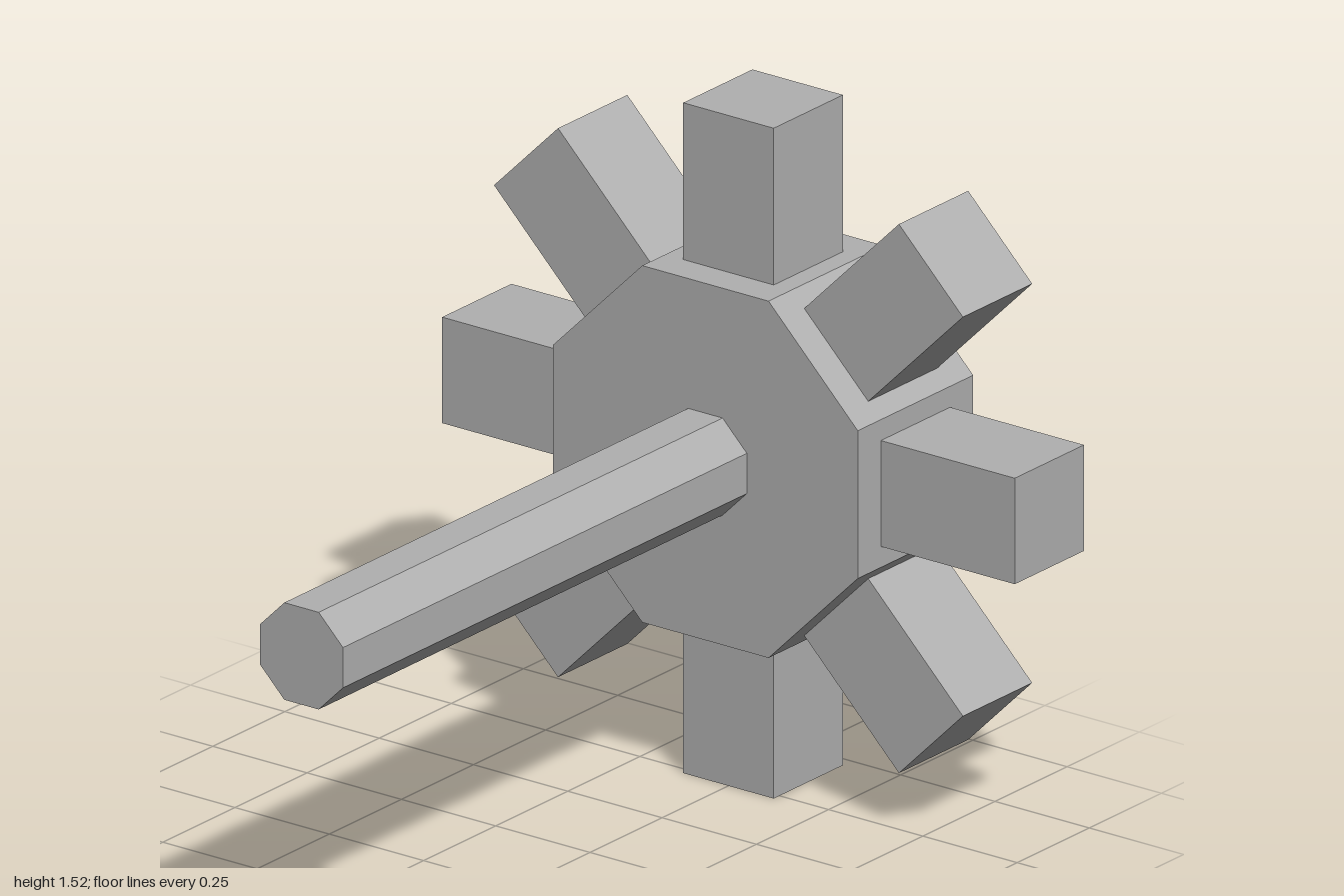
import * as THREE from 'three';

export function createModel() {
  const model = new THREE.Group();
  const grey = new THREE.MeshStandardMaterial({ color: 0xb0b0b0 });
  grey.name = 'plain grey';
  const axisY = 0.76;

  const add = (name, geometry, z) => {
    const mesh = new THREE.Mesh(geometry, grey);
    mesh.name = name;
    mesh.position.set(0, axisY, z);
    model.add(mesh);
    return mesh;
  };

  // Octagonal prism along z with flat sides facing up, down, left and right
  const octagon = (apothem, length) => {
    const r = apothem / Math.cos(Math.PI / 8);
    const g = new THREE.CylinderGeometry(r, r, length, 8).toNonIndexed();
    g.rotateY(Math.PI / 8).rotateX(Math.PI / 2);
    g.computeVertexNormals();
    return g;
  };

  // Shaft and wheel hub
  add('shaft', octagon(0.11, 2), 0);
  add('hub', octagon(0.404, 0.4), -0.6);

  // Eight square teeth rooted inside the hub
  const inner = 0.36, outer = 0.759;
  const toothGeometry = new THREE.BoxGeometry(0.24, outer - inner, 0.24);
  toothGeometry.translate(0, (inner + outer) / 2, 0);
  for (let i = 0; i < 8; i++) {
    add(`tooth${i + 1}`, toothGeometry, -0.6).rotation.z = (i * Math.PI) / 4;
  }

  return model;
}
